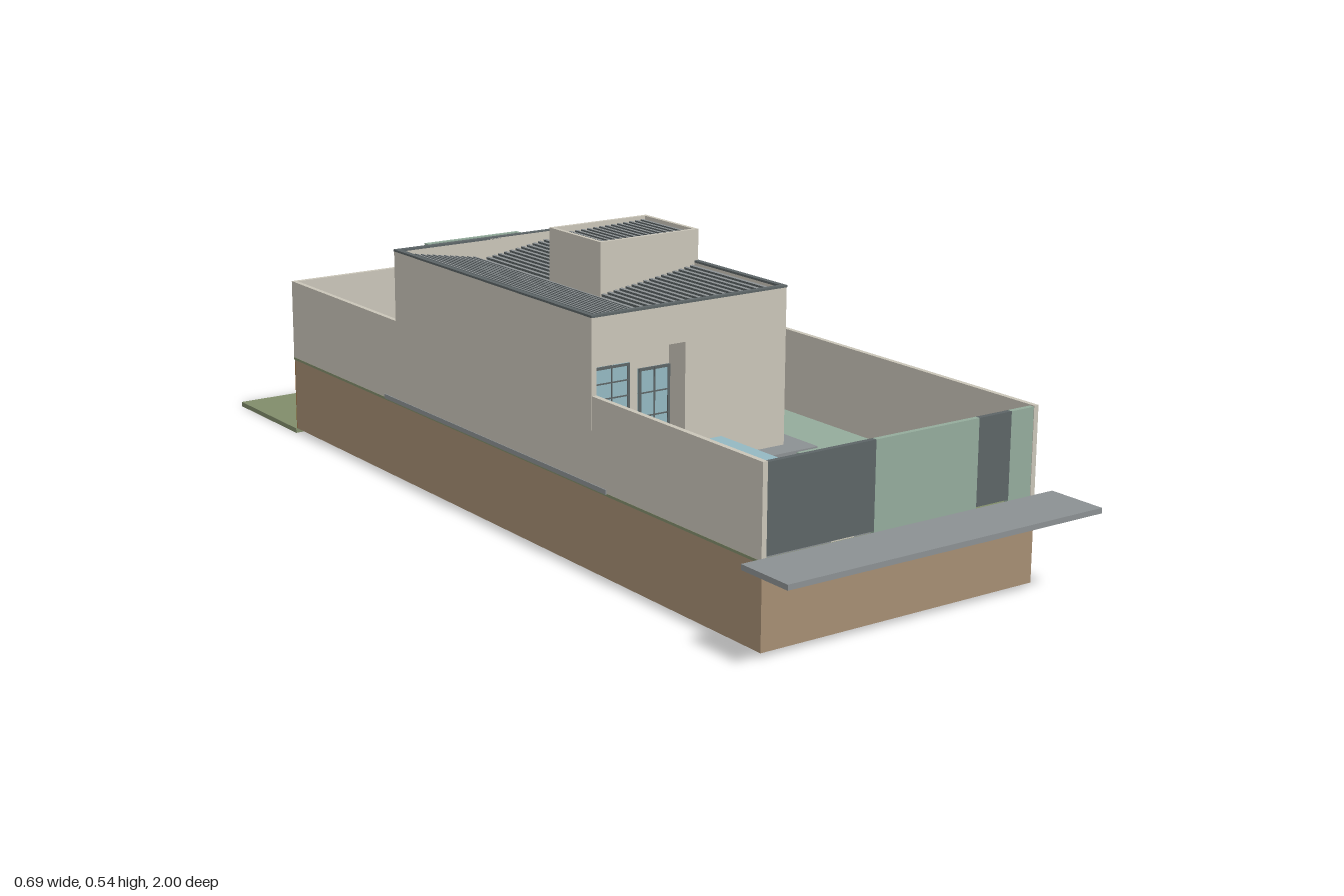
import * as THREE from 'three';

const mat = (name, color) => {
  const m = new THREE.MeshStandardMaterial({ color });
  m.name = name;
  return m;
};

export function createModel() {
  const M = {
    plaster: mat('plaster', 0xc9c4b8),
    earth: mat('earth', 0xa58d72),
    clay: mat('clay', 0xa87038),
    green: mat('sage paint', 0x93ab9b),
    dark: mat('dark metal', 0x5c6466),
    lawn: mat('lawn', 0x808c6a),
    grey: mat('concrete', 0x8b9092),
    glass: mat('glass', 0x93b8c1),
    blue: mat('car paint', 0x41607a),
  };
  const root = new THREE.Group();
  root.name = 'houseOnPlot';

  const group = (name) => {
    const g = new THREE.Group();
    g.name = name;
    root.add(g);
    return g;
  };
  // Box given by its two extents on every axis
  const box = (parent, name, material, x0, x1, y0, y1, z0, z1) => {
    const mesh = new THREE.Mesh(new THREE.BoxGeometry(x1 - x0, y1 - y0, z1 - z0), material);
    mesh.position.set((x0 + x1) / 2, (y0 + y1) / 2, (z0 + z1) / 2);
    mesh.name = name;
    parent.add(mesh);
    return mesh;
  };
  // Four walls round a rectangle
  const ring = (parent, name, material, x0, x1, y0, y1, z0, z1, t) => {
    box(parent, name + 'Left', material, x1 - t, x1, y0, y1, z0, z1);
    box(parent, name + 'Right', material, x0, x0 + t, y0, y1, z0, z1);
    box(parent, name + 'Back', material, x0 + t, x1 - t, y0, y1, z0, z0 + t);
    box(parent, name + 'Front', material, x0 + t, x1 - t, y0, y1, z1 - t, z1);
  };
  // Glazed window facing +z, made of a pane and dark bars
  const windowUnit = (parent, name, w, h, cols, rows) => {
    const g = new THREE.Group();
    g.name = name;
    const b = 0.005;
    box(g, 'pane', M.glass, -w / 2, w / 2, 0, h, -0.002, 0.001);
    for (let i = 0; i <= cols; i++) {
      const x = -w / 2 + b / 2 + ((w - b) * i) / cols;
      const t = i === 0 || i === cols ? b / 2 : b / 4;
      box(g, 'upright', M.dark, x - t, x + t, 0, h, -0.002, 0.003);
    }
    for (let j = 0; j <= rows; j++) {
      const y = b / 2 + ((h - b) * j) / rows;
      const t = j === 0 || j === rows ? b / 2 : b / 4;
      box(g, 'crossbar', M.dark, -w / 2, w / 2, y - t, y + t, -0.002, 0.0028);
    }
    parent.add(g);
    return g;
  };

  // Ground and paving
  const ground = group('ground');
  box(ground, 'earthBase', M.earth, -0.302, 0.302, 0.01, 0.164, -0.738, 0.88);
  box(ground, 'clayBank', M.clay, -0.302, 0.302, 0.01, 0.164, -0.74, -0.738);
  box(ground, 'gardenLawn', M.lawn, -0.3035, 0.3035, 0.163, 0.168, -0.74, 0.879);
  box(ground, 'rearField', M.lawn, -0.305, 0.305, 0, 0.01, -1, -0.738);
  box(ground, 'pavement', M.grey, -0.345, 0.345, 0.162, 0.172, 0.88, 1);
  box(ground, 'sidePath', M.green, 0.125, 0.292, 0.166, 0.172, -0.72, 0.85);
  box(ground, 'housePlatform', M.grey, -0.305, 0.175, 0.166, 0.175, -0.345, 0.44);
  box(ground, 'driveway', M.grey, -0.293, -0.15, 0.166, 0.171, 0.44, 0.87);
  box(ground, 'palePath', M.plaster, -0.15, -0.1, 0.166, 0.172, 0.44, 0.87);
  box(ground, 'greyPath', M.grey, -0.1, -0.065, 0.166, 0.171, 0.44, 0.87);

  // Boundary walls and street fence
  const walls = group('boundaryWalls');
  box(walls, 'leftWall', M.plaster, 0.292, 0.302, 0.168, 0.335, -0.74, 0.88);
  box(walls, 'rightWall', M.plaster, -0.303, -0.293, 0.168, 0.335, -0.74, 0.88);
  box(walls, 'rearWall', M.plaster, -0.293, 0.292, 0.168, 0.335, -0.74, -0.73);
  [['carGate', M.dark, -0.293, -0.065], ['fencePanel', M.green, -0.065, 0.165],
    ['footGate', M.dark, 0.165, 0.24], ['fenceEnd', M.green, 0.24, 0.292]].forEach(([n, m, a, b]) =>
    box(walls, n, m, a, b, m === M.dark ? 0.174 : 0.168, 0.333, 0.869, 0.879));

  // House shell with a recessed porch on the front
  const house = group('house');
  const T = 0.478;
  box(house, 'partyWall', M.plaster, -0.3035, -0.293, 0.17, T, -0.295, 0.395);
  box(house, 'sideWall', M.plaster, 0.12, 0.13, 0.17, T, -0.295, 0.395);
  box(house, 'backWall', M.plaster, -0.293, 0.12, 0.17, T, -0.295, -0.285);
  box(house, 'frontWall', M.plaster, -0.1, 0.12, 0.17, T, 0.385, 0.395);
  box(house, 'porchLintel', M.plaster, -0.293, -0.1, 0.405, T, 0.385, 0.395);
  box(house, 'porchCeiling', M.plaster, -0.293, -0.1, 0.405, 0.412, 0.34, 0.385);
  box(house, 'porchBack', M.plaster, -0.293, -0.1, 0.17, 0.412, 0.335, 0.345);
  box(house, 'porchSide', M.plaster, -0.1, -0.09, 0.17, 0.412, 0.335, 0.385);
  ring(house, 'coping', M.dark, -0.304, 0.131, T - 0.002, T + 0.002, -0.296, 0.396, 0.011);

  // Ribbed roof sheet between two x positions, sloping from ya to yb
  const ribMaterials = [M.dark, M.dark, M.grey, M.dark, M.dark, M.dark];
  const roofSheet = (name, x0, x1, ya, yb, z0, z1) => {
    const g = group(name);
    const len = Math.hypot(x1 - x0, yb - ya);
    const n = Math.round(len / 0.014);
    box(g, 'sheet', M.grey, -len / 2, len / 2, -0.004, 0, z0, z1);
    for (let i = 0; i < n; i++) {
      const x = -len / 2 + ((i + 0.5) * len) / n;
      box(g, 'rib', ribMaterials, x - 0.003, x + 0.003, 0, 0.005, z0, z1);
    }
    g.position.set((x0 + x1) / 2, (ya + yb) / 2, 0);
    g.rotation.z = Math.atan2(yb - ya, x1 - x0);
  };
  roofSheet('rightRoof', -0.293, -0.12, 0.468, 0.44, -0.285, 0.385);
  roofSheet('leftRoof', -0.1, 0.12, 0.436, 0.468, -0.285, 0.385);
  box(house, 'valleyGutter', M.dark, -0.122, -0.098, 0.428, 0.436, -0.285, 0.385);

  // Roof tower
  const tower = group('tower');
  ring(tower, 'towerWall', M.plaster, -0.099, 0.129, 0.43, 0.541, -0.05, 0.124, 0.008);
  roofSheet('towerRoof', -0.091, 0.121, 0.524, 0.53, -0.042, 0.116);
  box(tower, 'towerVent', M.dark, 0.127, 0.1325, 0.465, 0.511, 0.02, 0.066);

  // Rear annex
  const annex = group('annex');
  ring(annex, 'annexWall', M.green, -0.1, 0.128, 0.168, 0.43, -0.525, -0.295, 0.009);
  box(annex, 'annexRoof', M.grey, -0.092, 0.12, 0.405, 0.414, -0.518, -0.303);

  // Openings
  const openings = group('openings');
  windowUnit(openings, 'porchWindow', 0.078, 0.12, 2, 4).position.set(-0.229, 0.25, 0.347);
  windowUnit(openings, 'frontDoor', 0.069, 0.18, 2, 4).position.set(-0.135, 0.175, 0.347);
  const back = windowUnit(openings, 'gardenDoor', 0.135, 0.21, 4, 4);
  back.position.set(-0.172, 0.176, -0.297);
  back.rotation.y = Math.PI;
  [[0.253, 0.09, 0.27, 0.362], [0.048, 0.045, 0.28, 0.38],
    [-0.128, 0.047, 0.3, 0.38], [-0.402, 0.095, 0.285, 0.365]].forEach(([z, w, y0, y1]) => {
    const win = windowUnit(openings, 'sideWindow', w, y1 - y0, 2, 1);
    win.position.set(z < -0.3 ? 0.13 : 0.132, y0, z);
    win.rotation.y = Math.PI / 2;
  });
  box(openings, 'sidePanel', M.green, 0.128, 0.132, 0.285, 0.366, -0.217, -0.152);

  // Parked car
  const car = group('car');
  box(car, 'body', M.blue, -0.27, -0.128, 0.185, 0.237, 0.47, 0.812);
  box(car, 'cabin', M.glass, -0.263, -0.135, 0.237, 0.272, 0.55, 0.72);
  for (const x of [-0.269, -0.129]) {
    for (const z of [0.53, 0.755]) {
      const wheel = new THREE.Mesh(new THREE.CylinderGeometry(0.025, 0.025, 0.016, 16), M.dark);
      wheel.rotation.z = Math.PI / 2;
      wheel.position.set(x, 0.196, z);
      wheel.name = 'wheel';
      car.add(wheel);
    }
  }
  return root;
}
